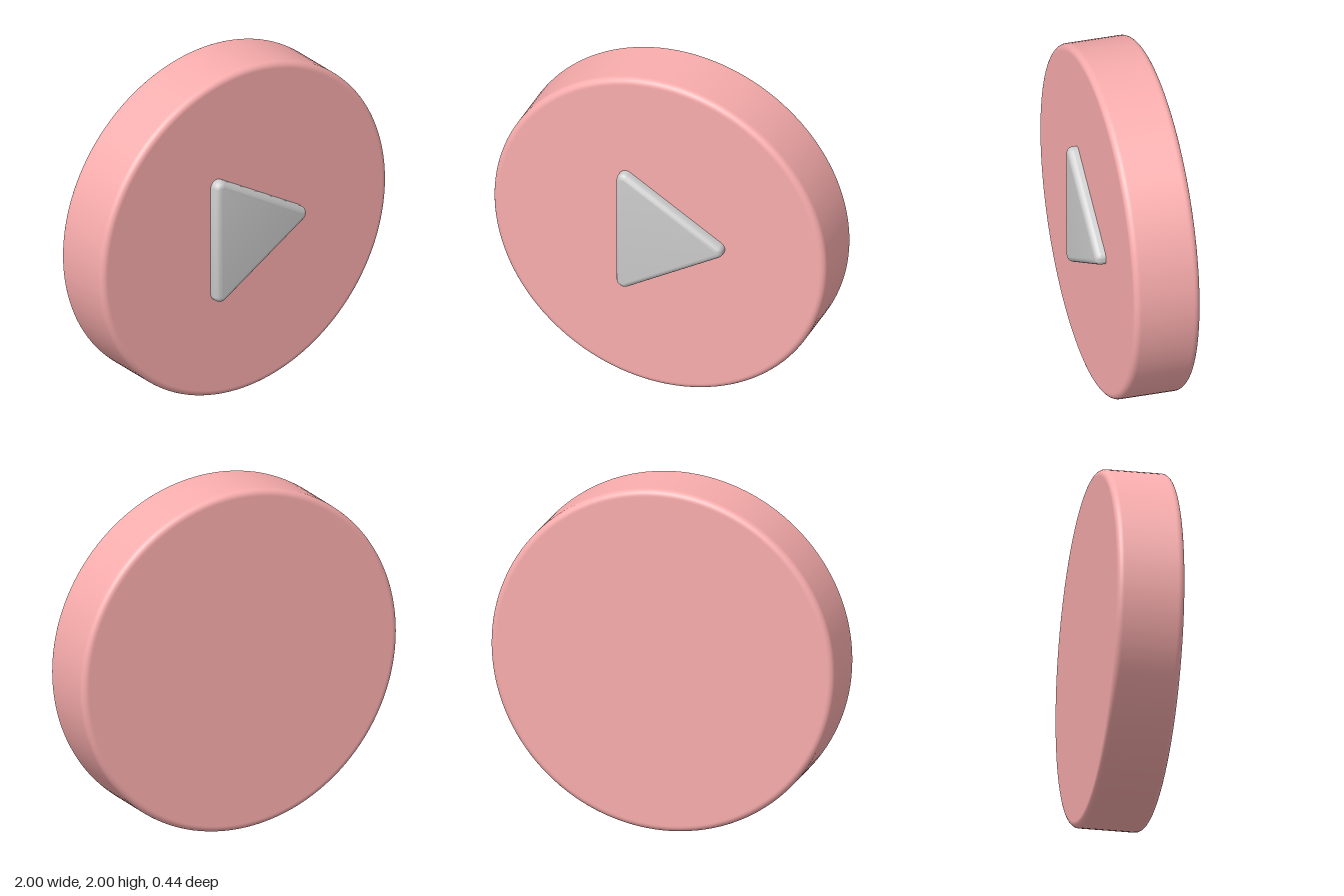
import * as THREE from 'three';
import { toCreasedNormals } from 'three/addons/utils/BufferGeometryUtils.js';

const BACK = -0.22, FACE = 0.16, FRONT = 0.22;

// Disc with filleted rims, turned so its axis runs along z
function discGeometry(radius, fillet) {
  const profile = [new THREE.Vector2(0, BACK), new THREE.Vector2(radius - fillet - 0.003, BACK)];
  const arc = (z, from) => {
    for (let i = 0; i <= 8; i++) {
      const a = from + (i / 8) * Math.PI / 2;
      profile.push(new THREE.Vector2(radius - fillet + fillet * Math.cos(a), z + fillet * Math.sin(a)));
    }
  };
  arc(BACK + fillet, -Math.PI / 2);
  // extra points beside each fillet keep the flats shading flat
  profile.push(new THREE.Vector2(radius, BACK + fillet + 0.003), new THREE.Vector2(radius, FACE - fillet - 0.003));
  arc(FACE - fillet, 0);
  profile.push(new THREE.Vector2(radius - fillet - 0.003, FACE), new THREE.Vector2(0, FACE));
  return new THREE.LatheGeometry(profile, 128).rotateX(Math.PI / 2);
}

// Triangle with rounded corners and a rounded front edge
function triangleGeometry() {
  const bevel = 0.035, corner = 0.01, left = -0.195, tip = 0.353, half = 0.33;
  const slant = Math.atan2(tip - left, half); // direction the upper edge faces
  const shape = new THREE.Shape();
  shape.absarc(left, -half, corner, -Math.PI, -slant, false);
  shape.absarc(tip, 0, corner, -slant, slant, false);
  shape.absarc(left, half, corner, slant, Math.PI, false);
  const depth = FRONT - 0.08 - 2 * bevel;
  const geometry = new THREE.ExtrudeGeometry(shape, {
    depth, bevelEnabled: true, bevelSize: bevel, bevelThickness: bevel, bevelSegments: 8, curveSegments: 10,
  });
  geometry.translate(0, 0, FRONT - bevel - depth);
  return toCreasedNormals(geometry, 0.5);
}

export function createModel() {
  const model = new THREE.Group();
  const add = (name, geometry, color) => {
    const mesh = new THREE.Mesh(geometry, new THREE.MeshStandardMaterial({ color }));
    mesh.name = name;
    mesh.position.y = 1;
    model.add(mesh);
  };
  add('disc', discGeometry(1, 0.035), 0xfaadad);
  add('playTriangle', triangleGeometry(), 0xcccccc);
  return model;
}
